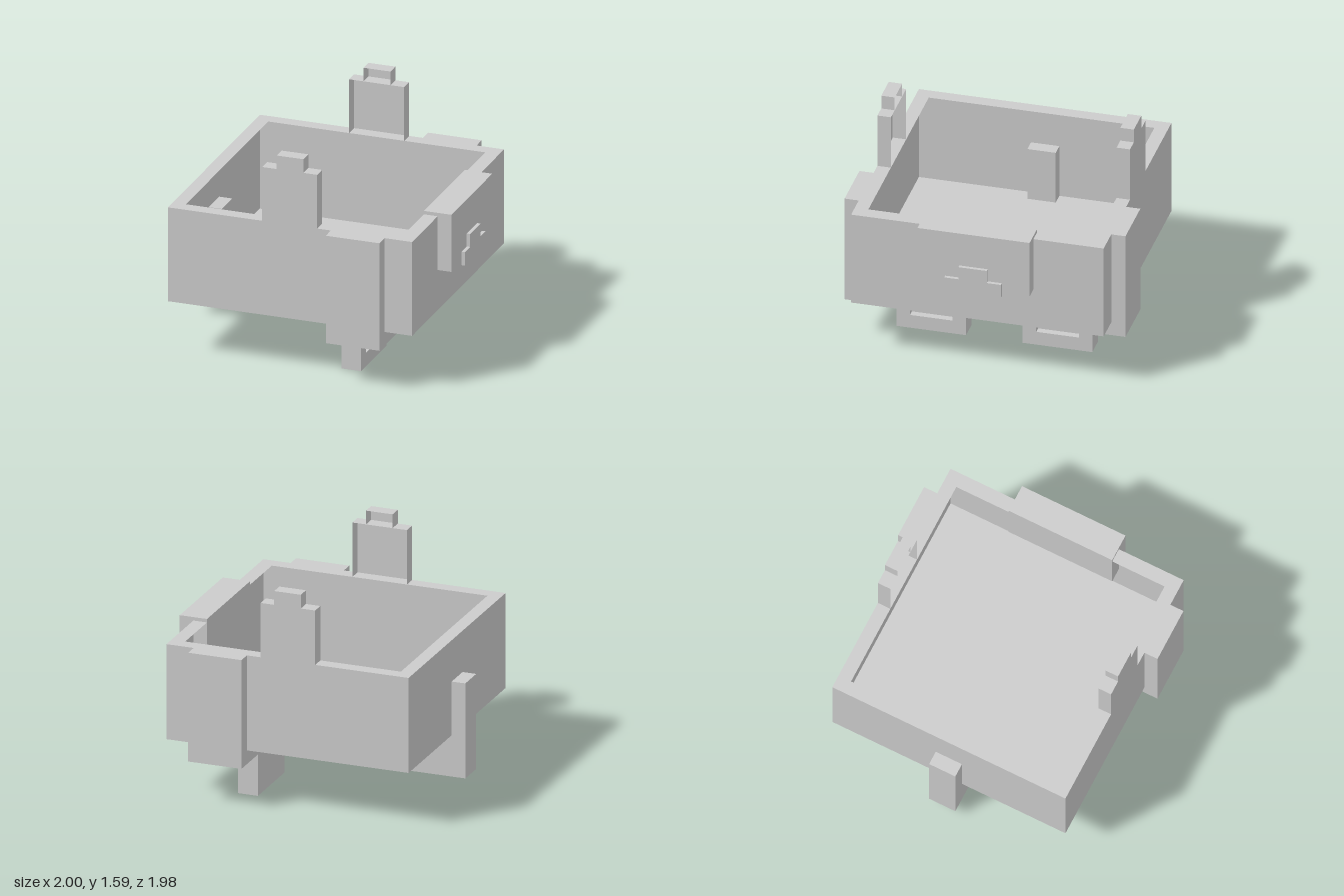
import * as THREE from 'three';

const material = new THREE.MeshStandardMaterial({ color: 0xcccccc, flatShading: true, side: THREE.DoubleSide });

// Face order of a box: +x, -x, +y, -y, +z, -z
const FACE = { right: 0, left: 1, top: 2, bottom: 3, front: 4, back: 5 };

// Box from its bounds; faces listed in open are left out
function box(parent, name, [x0, x1], [y0, y1], [z0, z1], open = []) {
  const geometry = new THREE.BoxGeometry(x1 - x0, y1 - y0, z1 - z0);
  const skip = open.map((f) => FACE[f]);
  const index = Array.from(geometry.index.array).filter((_, i) => !skip.includes(Math.floor(i / 6)));
  geometry.setIndex(index);
  geometry.clearGroups();
  geometry.translate((x0 + x1) / 2, (y0 + y1) / 2, (z0 + z1) / 2);
  const mesh = new THREE.Mesh(geometry, material);
  mesh.name = name;
  parent.add(mesh);
  return mesh;
}

function group(parent, name) {
  const g = new THREE.Group();
  g.name = name;
  parent.add(g);
  return g;
}

// Flat rim with a rectangular opening
function rim(parent, y) {
  const rect = (path, x0, x1, z) =>
    path.moveTo(x0, -z).lineTo(x1, -z).lineTo(x1, z).lineTo(x0, z).closePath();
  const shape = new THREE.Shape();
  rect(shape, -0.9, 0.875, 0.89);
  const hole = new THREE.Path();
  rect(hole, -0.805, 0.775, 0.795);
  shape.holes.push(hole);
  const geometry = new THREE.ShapeGeometry(shape);
  geometry.rotateX(-Math.PI / 2).translate(0, y, 0);
  const mesh = new THREE.Mesh(geometry, material);
  mesh.name = 'rim';
  parent.add(mesh);
}

export function createModel() {
  const model = new THREE.Group();
  model.name = 'openTub';

  // Thin-walled tub with a flat rim on top
  box(model, 'tubShell', [-0.9, 0.875], [0.4, 1.09], [-0.89, 0.89], ['top']);
  rim(model, 1.09);

  // Band running under the tub and up both sides
  const band = group(model, 'band');
  box(band, 'bandBottom', [0.285, 0.675], [0.3, 0.4], [-0.99, 0.99]);

  for (const s of [1, -1]) {
    const span = (a, b) => (s > 0 ? [a, b] : [-b, -a]);
    const inner = s > 0 ? 'back' : 'front';
    box(band, 'bandSide', [0.285, 0.675], [0.4, 1.09], span(0.89, 0.99));

    // Stepped tower on the rim, open towards the inside
    const tower = group(model, 'tower');
    box(tower, 'towerBody', [-0.215, 0.185], [1.09, 1.485], span(0.795, 0.89), [inner, 'bottom']);
    box(tower, 'towerCap', [-0.11, 0.085], [1.485, 1.585], span(0.795, 0.89), [inner, 'bottom']);

    // Foot with a shallow recess in its front
    const foot = group(model, 'foot');
    box(foot, 'footPlate', [0.285, 0.38], [0, 0.3], span(0.2, 0.69));
    box(foot, 'footBar', [0.38, 0.43], [0, 0.1], span(0.2, 0.69));
    box(foot, 'footArm', [0.38, 0.43], [0.1, 0.3], span(0.2, 0.295));
    box(foot, 'footArm', [0.38, 0.43], [0.1, 0.3], span(0.595, 0.69));
  }

  // Rear post with a foot reaching under the tub
  const rear = group(model, 'rearSupport');
  box(rear, 'rearPost', [-1, -0.805], [0.3, 0.79], [-0.1, 0.1]);
  box(rear, 'rearFoot', [-1, -0.41], [0.1, 0.3], [-0.1, 0.1]);

  // Block set through the end wall, with a stepped plate on its face
  const block = group(model, 'endBlock');
  box(block, 'blockBody', [0.775, 0.975], [0.695, 1.115], [-0.395, 0.395]);
  box(block, 'plateLower', [0.975, 1], [0.67, 0.77], [-0.2, 0.2]);
  box(block, 'plateUpper', [0.975, 1], [0.77, 0.865], [-0.1, 0.1]);

  return model;
}
